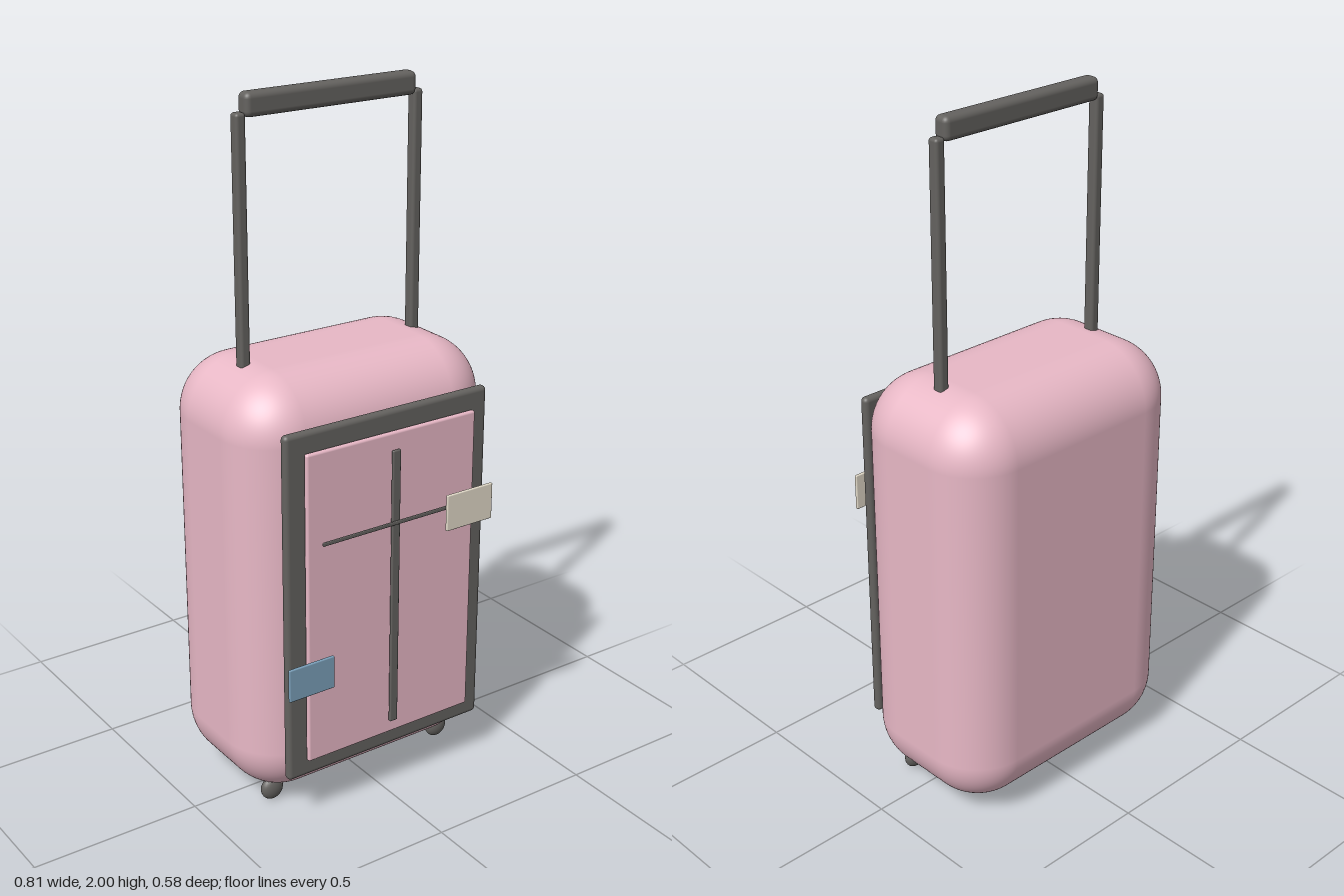
import * as THREE from 'three';
import { RoundedBoxGeometry } from 'three/addons/geometries/RoundedBoxGeometry.js';

const material = (color) => new THREE.MeshStandardMaterial({ color });

export function createModel() {
  const model = new THREE.Group();
  model.name = 'suitcase';

  const pink = material(0xe8b8c6);
  const dark = material(0x64625f);
  const cream = material(0xe2dac9);
  const blue = material(0x7a9fb9);

  // Rounded block given by its extents [min, max] on each axis
  function block(name, mat, [x0, x1], [y0, y1], [z0, z1], radius, segments = 3) {
    const geometry = new RoundedBoxGeometry(x1 - x0, y1 - y0, z1 - z0, segments, radius);
    const mesh = new THREE.Mesh(geometry, mat);
    mesh.name = name;
    mesh.position.set((x0 + x1) / 2, (y0 + y1) / 2, (z0 + z1) / 2);
    model.add(mesh);
    return mesh;
  }

  // Soft main shell
  block('body', pink, [-0.405, 0.405], [0.035, 1.285], [-0.293, 0.203], 0.165, 10);

  // Front pocket: dark border plate with a pink panel on it
  block('frontBorder', dark, [-0.331, 0.331], [0.145, 1.175], [0.207, 0.235], 0.013);
  block('frontPanel', pink, [-0.277, 0.277], [0.2, 1.12], [0.238, 0.254], 0.007);

  // Crossing straps
  block('verticalStrap', dark, [-0.013, 0.013], [0.245, 1.075], [0.262, 0.272], 0.004);
  block('horizontalStrap', dark, [-0.242, 0.242], [0.86, 0.871], [0.272, 0.278], 0.0025);

  // Stickers
  block('creamTag', cream, [0.16, 0.317], [0.8, 0.907], [0.281, 0.29], 0.003);
  block('blueTag', blue, [-0.36, -0.215], [0.435, 0.532], [0.281, 0.29], 0.003);

  // Telescopic handle
  block('handleGrip', dark, [-0.268, 0.268], [1.936, 2], [-0.067, -0.019], 0.016);

  for (const [side, s] of [['left', 1], ['right', -1]]) {
    const x = s * 0.279;
    block(side + 'HandlePost', dark, [x - 0.015, x + 0.015], [1.2, 1.95], [-0.06, -0.027], 0.009);

    // Flattened ball wheel
    const wheel = new THREE.Mesh(new THREE.SphereGeometry(0.035, 24, 16), dark);
    wheel.name = side + 'Wheel';
    wheel.scale.z = 0.6;
    wheel.position.set(s * 0.295, 0.035, 0.088);
    model.add(wheel);
  }

  return model;
}
